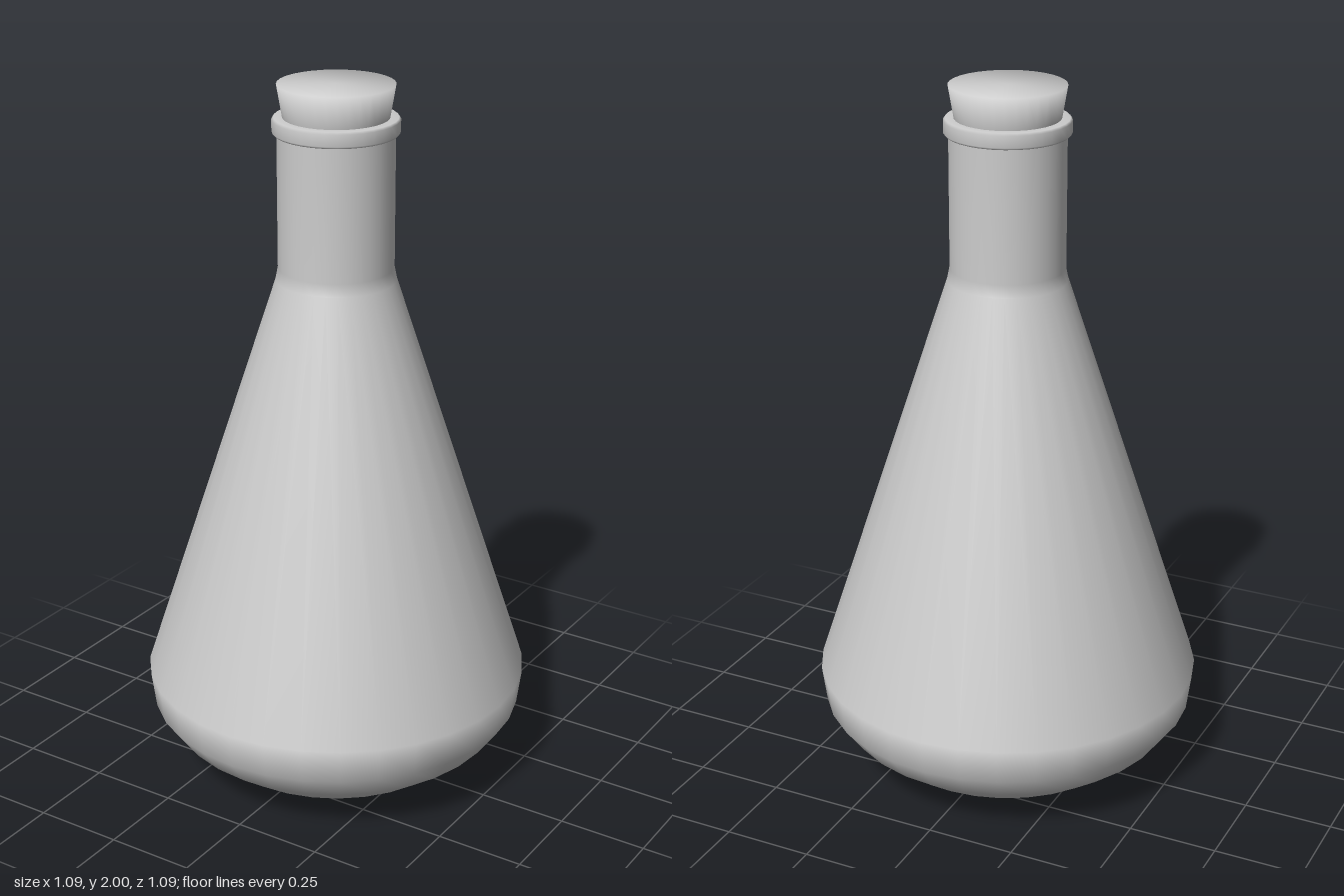
import * as THREE from 'three';

const SIDES = 32;

// Smooth turned part from [radius, height] pairs, listed bottom to top
function turned(name, profile, material) {
  const points = profile.map(([r, y]) => new THREE.Vector2(r, y));
  const mesh = new THREE.Mesh(new THREE.LatheGeometry(points, SIDES), material);
  mesh.name = name;
  return mesh;
}

export function createModel() {
  const group = new THREE.Group();
  group.name = 'stopperedFlask';
  const grey = new THREE.MeshStandardMaterial({ color: 0xcccccc, side: THREE.DoubleSide });

  // Rounded base, conical body and straight neck in one surface
  group.add(turned('flaskBody', [
    [0, 0], [0.19, 0.003], [0.275, 0.02], [0.375, 0.055], [0.475, 0.13],
    [0.53, 0.205], [0.543, 0.305], [0.165, 1.465], [0.158, 1.5], [0.158, 1.89],
  ], grey));

  // Rolled lip around the mouth
  group.add(turned('lip', [
    [0.155, 1.868], [0.166, 1.868], [0.171, 1.874],
    [0.171, 1.906], [0.166, 1.912], [0.138, 1.912],
  ], grey));

  // Tapered stopper pushed into the neck, shaded softly over its flat top
  group.add(turned('stopper', [
    [0, 1.82], [0.127, 1.82], [0.143, 1.912], [0.158, 2], [0, 2],
  ], grey));

  return group;
}
